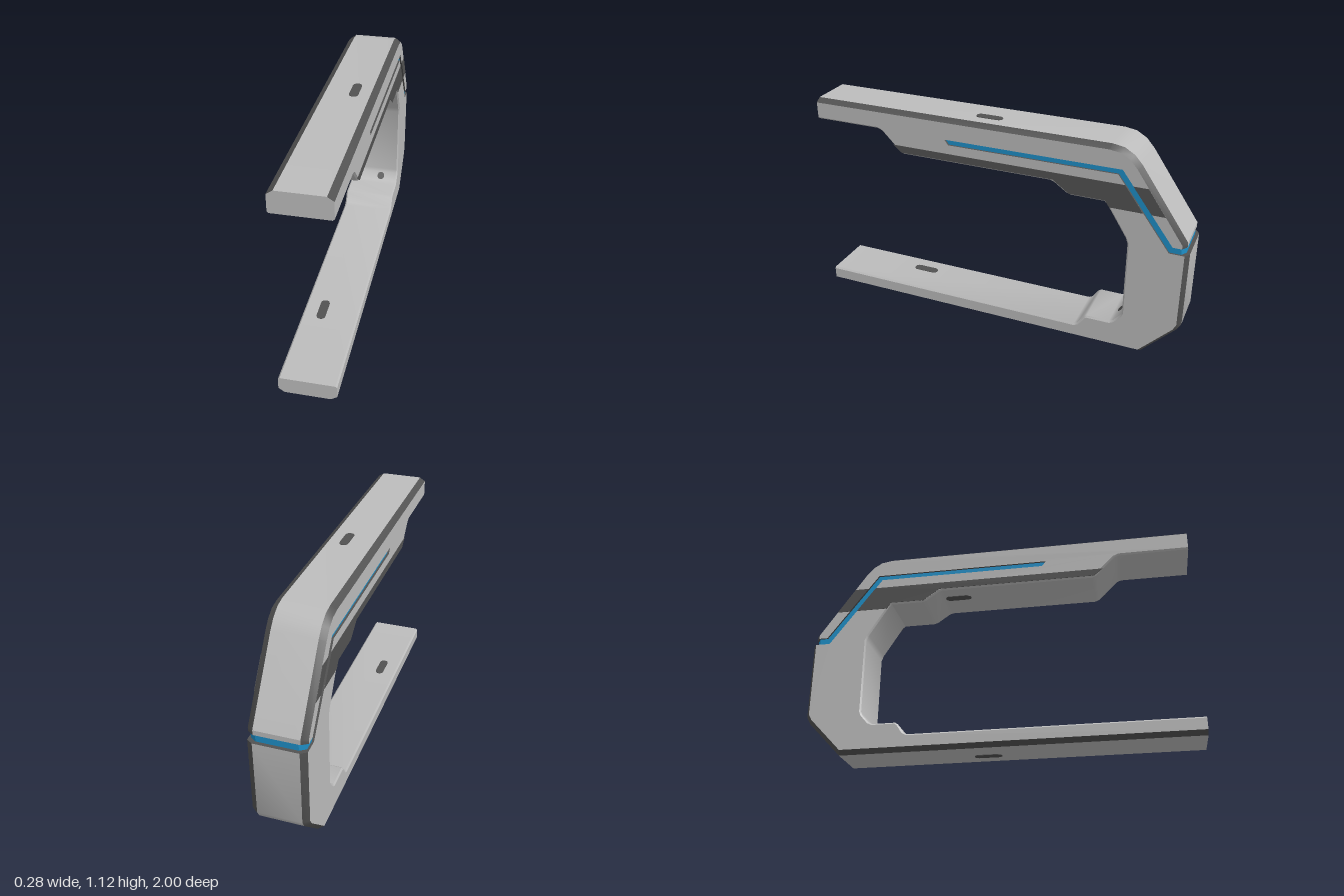
import * as THREE from 'three';
import { toCreasedNormals } from 'three/addons/utils/BufferGeometryUtils.js';

const paint = (name, color) => {
  const m = new THREE.MeshStandardMaterial({ color });
  m.name = name;
  return m;
};

// edge kinds: [inset in profile, bevel across the width]
const BEVEL = { inner: [0.008, 0.008], outer: [0.02, 0.03], cap: [0, 0], slot: [0, 0] };

// Beveled slab from a counter-clockwise profile of [z, y] runs, each tagged with its edge kind.
// Returns the plain surfaces and the trim surfaces (outer bevels and slot walls).
function beveledSlab(runs, W) {
  const pts = [];
  for (const [kind, list] of runs) for (const [z, y] of list) pts.push({ u: -z, y, kind });
  const n = pts.length;
  const rows = pts.map((p, i) => {
    const prev = pts[(i + n - 1) % n], next = pts[(i + 1) % n];
    const normal = (a, b) => {
      const l = Math.hypot(b.u - a.u, b.y - a.y);
      return [-(b.y - a.y) / l, (b.u - a.u) / l];
    };
    const n1 = normal(prev, p), n2 = normal(p, next);
    const [a, c1] = BEVEL[prev.kind], [b, c2] = BEVEL[p.kind];
    const det = n1[0] * n2[1] - n1[1] * n2[0];
    const du = Math.abs(det) < 1e-4 ? n1[0] * a : (a * n2[1] - b * n1[1]) / det;
    const dy = Math.abs(det) < 1e-4 ? n1[1] * a : (b * n1[0] - a * n2[0]) / det;
    const c = Math.max(c1, c2);
    return [
      [p.u + du, p.y + dy, -W], [p.u, p.y, c - W],
      [p.u, p.y, W - c], [p.u + du, p.y + dy, W],
    ];
  });
  const plain = [], trim = [];
  rows.forEach((r, i) => {
    const s = rows[(i + 1) % n], kind = pts[i].kind;
    for (let k = 0; k < 3; k++) {
      const dark = kind === 'slot' || (kind === 'outer' && k !== 1);
      (dark ? trim : plain).push(r[k], s[k], s[k + 1], r[k], s[k + 1], r[k + 1]);
    }
  });
  // flat side faces
  const contour = rows.map((r) => new THREE.Vector2(r[3][0], r[3][1]));
  for (const [a, b, c] of THREE.ShapeUtils.triangulateShape(contour, [])) {
    plain.push(rows[a][3], rows[b][3], rows[c][3], rows[a][0], rows[c][0], rows[b][0]);
  }
  const build = (list) => {
    const g = new THREE.BufferGeometry();
    g.setAttribute('position', new THREE.Float32BufferAttribute(list.flat(), 3));
    g.rotateY(Math.PI / 2);
    return toCreasedNormals(g, 0.6);
  };
  return { plain: build(plain), trim: build(trim) };
}

// Thin plate lying in the profile plane, centred on x
function sidePlate(points, x) {
  const shape = new THREE.Shape(points.map(([z, y]) => new THREE.Vector2(-z, y)));
  const g = new THREE.ExtrudeGeometry(shape, { depth: 0.004, bevelEnabled: false });
  return g.translate(0, 0, -0.002).rotateY(Math.PI / 2).translate(x, 0, 0);
}

// Thin rounded plate lying flat, long along z
function slotPlate(width, length) {
  const r = width / 2, h = length / 2 - r;
  const shape = new THREE.Shape();
  shape.absarc(0, h, r, 0, Math.PI);
  shape.absarc(0, -h, r, Math.PI, Math.PI * 2);
  shape.closePath();
  const g = new THREE.ExtrudeGeometry(shape, { depth: 0.006, bevelEnabled: false, curveSegments: 8 });
  return g.translate(0, 0, -0.003).rotateX(-Math.PI / 2);
}

export function createModel() {
  const group = new THREE.Group();
  const shell = paint('light grey shell', 0xbcbcbc);
  const dark = paint('dark grey trim', 0x525252);
  const blue = paint('blue glow', 0x1e90c8);
  const add = (name, geometry, material) => {
    const mesh = new THREE.Mesh(geometry, material);
    mesh.name = name;
    group.add(mesh);
    return mesh;
  };

  // C-shaped frame with a long slot entering from the back
  const frame = beveledSlab([
    ['inner', [[1, 1.005], [0.645, 1.005], [0.62, 0.995], [0.52, 0.895], [0.5, 0.885],
      [-0.3, 0.885], [-0.32, 0.878], [-0.385, 0.832], [-0.41, 0.825], [-0.575, 0.825], [-0.59, 0.812],
      [-0.692, 0.65], [-0.703, 0.62], [-0.703, 0.22], [-0.695, 0.2], [-0.66, 0.16], [-0.64, 0.15],
      [-0.52, 0.15], [-0.505, 0.14], [-0.475, 0.095], [-0.455, 0.085]]],
    ['cap', [[1, 0.085]]],
    ['outer', [[1, 0], [-0.81, 0], [-0.98, 0.178], [-1, 0.215]]],
    ['slot', [[-1, 0.615], [-0.905, 0.615], [-0.635, 0.978], [0.24, 0.978], [0.26, 1.005],
      [-0.655, 1.005], [-0.92, 0.65]]],
    ['outer', [[-0.985, 0.65], [-0.985, 0.675], [-0.74, 1.03], [-0.7, 1.075], [-0.65, 1.105], [-0.59, 1.115]]],
    ['cap', [[1, 1.115]]],
  ], 0.14);
  add('frame', frame.plain, shell);
  add('frameTrim', frame.trim, dark);

  // Glowing strip filling the slot, slightly recessed
  const strip = beveledSlab([
    ['slot', [[-0.655, 1.005], [0.26, 1.005], [0.24, 0.978], [-0.635, 0.978], [-0.905, 0.615]]],
    ['outer', [[-0.982, 0.615]]],
    ['slot', [[-0.982, 0.65], [-0.92, 0.65]]],
  ], 0.13);
  add('glowStrip', strip.plain, blue);
  add('glowStripEdges', strip.trim, blue);

  // Dark band on both sides of the upper arm
  const lowerBand = [[0.555, 0.93], [0.508, 0.893], [-0.315, 0.893], [-0.4, 0.833], [-0.58, 0.833],
    [-0.602, 0.8], [-0.767, 0.8], [-0.671, 0.93]];
  const rearBand = [[-0.711, 0.93], [-0.808, 0.8], [-0.874, 0.8], [-0.784, 0.93]];
  for (const side of [1, -1]) {
    add('sideBand', sidePlate(lowerBand, side * 0.14), dark);
    add('rearSideBand', sidePlate(rearBand, side * 0.14), dark);
  }

  // Small dark inlays on the arms
  const inlay = slotPlate(0.045, 0.14);
  for (const [x, y, z] of [[0.03, 1.115, 0.06], [-0.045, 0.085, 0.5], [0.02, 0, -0.07], [-0.04, 0.885, -0.23]]) {
    add('inlay', inlay, dark).position.set(x, y, z);
  }
  const rampInlay = add('rampInlay', slotPlate(0.04, 0.045), dark);
  rampInlay.position.set(0.04, 0.18, -0.678);
  rampInlay.rotation.x = Math.atan2(0.04, 0.035);
  return group;
}
